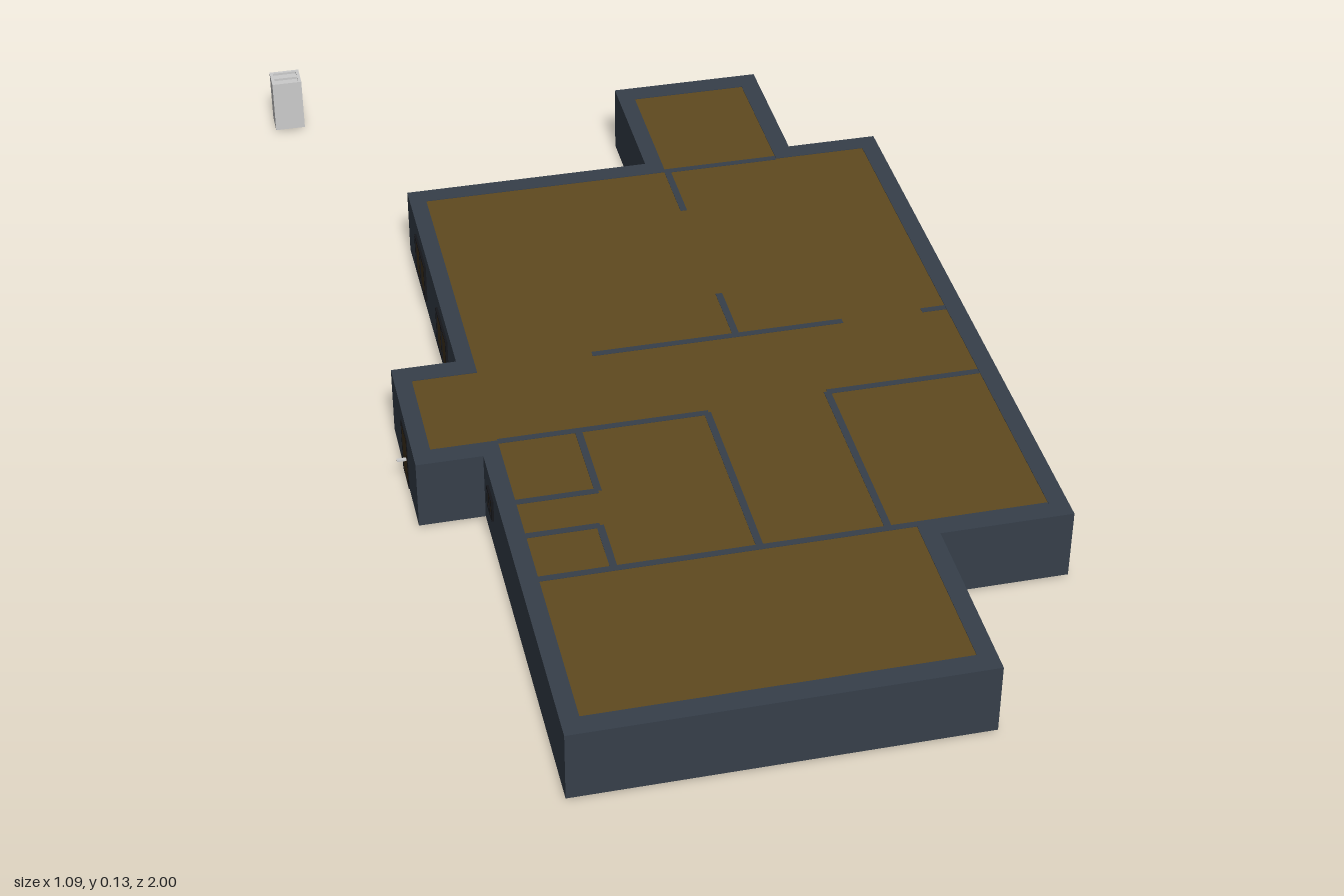
import * as THREE from 'three';

const Y0 = 0.005, Y1 = 0.132;

// Footprints as [x, z] corners
const OUTER = [[-0.355, 0.997], [0.316, 0.997], [0.316, 0.676], [0.539, 0.676], [0.539, -0.478],
  [0.373, -0.478], [0.373, -0.748], [0.095, -0.748], [0.095, -0.478], [-0.355, -0.478],
  [-0.355, 0.058], [-0.467, 0.058], [-0.467, 0.324], [-0.355, 0.324]];
const INNER = [[-0.325, 0.961], [0.285, 0.961], [0.285, 0.645], [0.507, 0.645], [0.507, -0.443],
  [0.339, -0.443], [0.339, -0.708], [0.126, -0.708], [0.126, -0.443], [-0.325, -0.443],
  [-0.325, 0.096], [-0.437, 0.096], [-0.437, 0.288], [-0.325, 0.288]];

// Thin partitions: x1, z1, x2, z2
const PARTITIONS = [
  [0.126, -0.446, 0.339, -0.446], [0.13, -0.446, 0.13, -0.31], [0.13, -0.04, 0.13, 0.087],
  [-0.124, 0.087, 0.32, 0.087], [0.463, 0.087, 0.507, 0.087],
  [-0.325, 0.29, 0.032, 0.29], [0.03, 0.29, 0.03, 0.645],
  [-0.19, 0.29, -0.19, 0.452], [-0.325, 0.452, -0.19, 0.452],
  [-0.325, 0.538, -0.205, 0.538], [-0.205, 0.538, -0.205, 0.645],
  [-0.325, 0.645, 0.507, 0.645], [0.24, 0.278, 0.24, 0.645], [0.24, 0.278, 0.507, 0.278],
];

const mat = (color) => new THREE.MeshStandardMaterial({ color });
const slate = mat(0x363f4a), wood = mat(0x604a1f), pane = mat(0x40321c), dark = mat(0x15161a), grey = mat(0xcccccc);

function add(parent, name, geometry, material) {
  const mesh = new THREE.Mesh(geometry, material);
  mesh.name = name;
  parent.add(mesh);
  return mesh;
}

function box(parent, name, material, x, y, z, w, h, d) {
  const mesh = add(parent, name, new THREE.BoxGeometry(w, h, d), material);
  mesh.position.set(x, y, z);
  return mesh;
}

// Footprint raised from y0 to y1, optionally with a hole
function slab(corners, hole, y0, y1) {
  const toPoints = (list) => list.map(([x, z]) => new THREE.Vector2(x, -z));
  const shape = new THREE.Shape(toPoints(corners));
  if (hole) shape.holes.push(new THREE.Path(toPoints(hole)));
  return new THREE.ExtrudeGeometry(shape, { depth: y1 - y0, bevelEnabled: false })
    .rotateX(-Math.PI / 2).translate(0, y0, 0);
}

// Framed window in its own plane, outward along local +z
function windowUnit(name, width, y0, y1, depth, bars) {
  const g = new THREE.Group();
  g.name = name;
  const h = y1 - y0, cy = (y0 + y1) / 2, t = 0.004;
  box(g, 'windowPane', pane, 0, cy, 0, width - t, h - t, depth);
  for (const s of [-1, 1]) {
    box(g, 'frameSide', dark, s * (width - t) / 2, cy, 0, t, h, depth * 2);
    box(g, 'frameRail', dark, 0, cy + s * (h - t) / 2, 0, width, t, depth * 2);
  }
  for (let i = 1; i <= bars; i++) {
    box(g, 'frameBar', dark, (i / (bars + 1) - 0.5) * width, cy, 0, 0.003, h, depth * 2);
  }
  return g;
}

export function createModel() {
  const model = new THREE.Group();
  model.name = 'house';

  // Shell, floor and ceiling
  add(model, 'outerWalls', slab(OUTER, INNER, Y0, Y1), slate);
  add(model, 'floor', slab(INNER, null, Y0 - 0.001, Y0 + 0.004), wood);
  add(model, 'ceiling', slab(INNER, null, Y1 - 0.005, Y1 - 0.001), wood);

  // Partitions between rooms
  const t = 0.012;
  for (const [x1, z1, x2, z2] of PARTITIONS) {
    box(model, 'partition', slate, (x1 + x2) / 2, (Y0 + Y1) / 2, (z1 + z2) / 2,
      Math.max(x2 - x1, t), Y1 - Y0 - 0.0006, Math.max(z2 - z1, t));
  }

  // Windows: x, z, turn, width, bottom, top, depth, bars
  const L = Math.PI / 2, R = -Math.PI / 2, B = Math.PI;
  const windows = [
    [0.316, 0.835, L, 0.108, 0.03, 0.106, 0.004, 1],
    [0.539, 0.46, L, 0.106, 0.03, 0.106, 0.004, 1],
    [0.539, 0.185, L, 0.106, 0.03, 0.106, 0.004, 1],
    [0.539, -0.178, L, 0.396, 0.075, 0.124, 0.0012, 1],
    [-0.355, -0.325, R, 0.106, 0.03, 0.106, 0.004, 1],
    [-0.355, -0.09, R, 0.106, 0.03, 0.106, 0.004, 1],
    [-0.355, 0.39, R, 0.045, 0.065, 0.106, 0.004, 1],
    [-0.09, -0.478, B, 0.106, 0.03, 0.106, 0.002, 2],
    [0.235, -0.748, B, 0.058, 0.065, 0.106, 0.002, 1],
  ];
  for (const [x, z, turn, width, y0, y1, depth, bars] of windows) {
    const unit = windowUnit('window', width, y0, y1, depth, bars);
    unit.position.set(x, 0, z);
    unit.rotation.y = turn;
    model.add(unit);
  }

  // Entrance door with handle and threshold
  const door = windowUnit('entranceDoor', 0.06, Y0, 0.108, 0.0015, 0);
  box(door, 'doorHandle', grey, 0.015, 0.057, 0.009, 0.006, 0.003, 0.016);
  box(door, 'threshold', dark, 0, 0.003, -0.026, 0.055, 0.006, 0.02);
  door.position.set(-0.467, 0, 0.195);
  door.rotation.y = R;
  model.add(door);

  // Free-standing cabinet with a recessed top and a centre bar
  const cabinet = new THREE.Group();
  cabinet.name = 'cabinet';
  box(cabinet, 'cabinetBody', grey, 0, 0.055, 0, 0.057, 0.1, 0.048);
  for (const s of [-1, 1]) {
    box(cabinet, 'cabinetRimSide', grey, s * 0.0255, 0.107, 0, 0.006, 0.005, 0.048);
    box(cabinet, 'cabinetRimEnd', grey, 0, 0.107, s * 0.021, 0.046, 0.005, 0.006);
  }
  box(cabinet, 'cabinetBar', grey, 0, 0.107, 0, 0.046, 0.005, 0.006);
  cabinet.position.set(-0.521, 0, -0.975);
  model.add(cabinet);

  return model;
}
